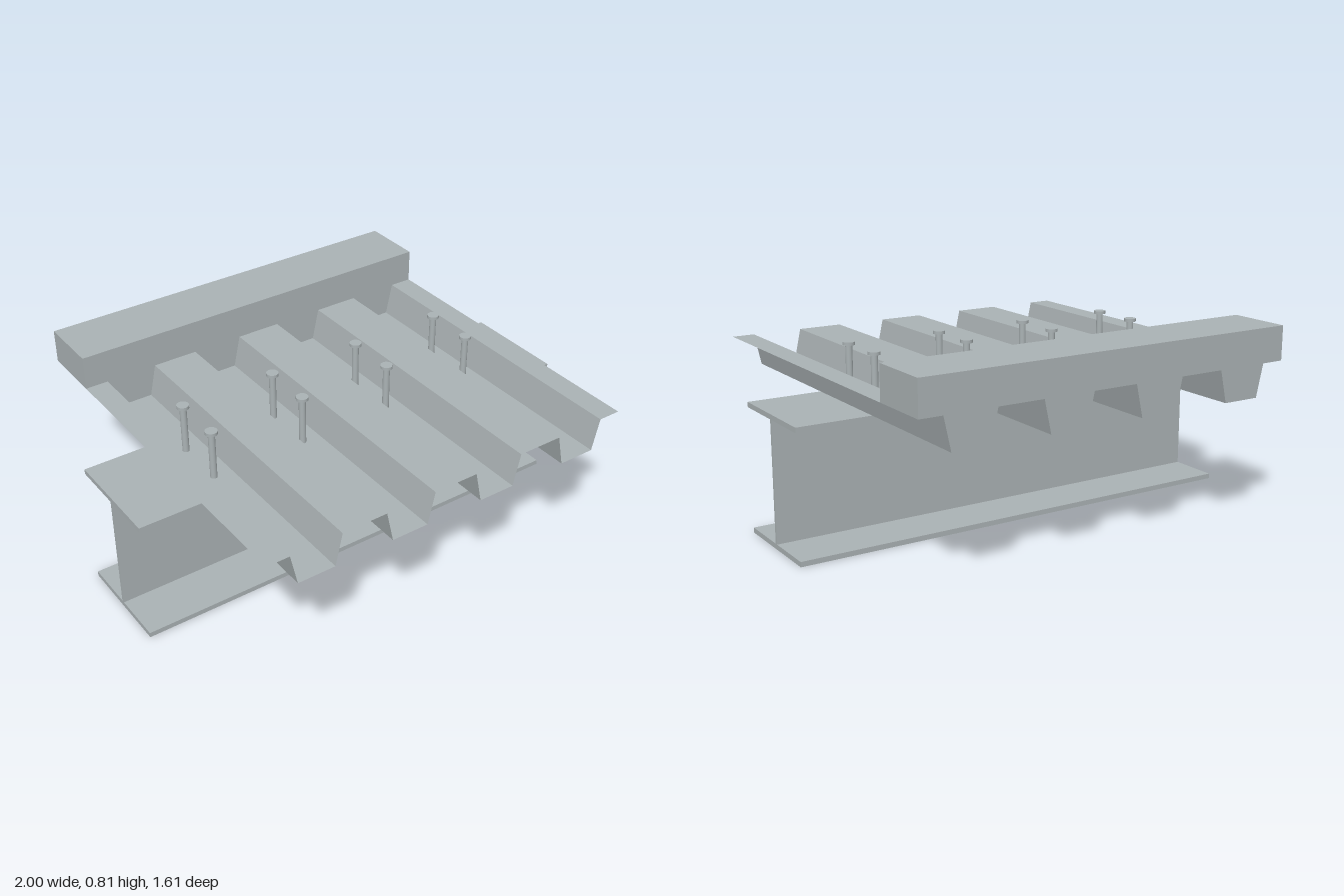
import * as THREE from 'three';

export function createModel() {
  const model = new THREE.Group();
  const steel = new THREE.MeshStandardMaterial({ color: 0xaab2b4 });
  steel.name = 'pale grey';
  steel.side = THREE.DoubleSide;

  const add = (name, geometry, x, y, z, parent = model) => {
    const mesh = new THREE.Mesh(geometry, steel);
    mesh.name = name;
    mesh.position.set(x, y, z);
    parent.add(mesh);
    return mesh;
  };

  const BEAM_TOP = 0.537, DECK_LOW = 0.54, DECK_HIGH = 0.674, SLAB_TOP = 0.815;
  const HALF_WIDTH = 0.82, FRONT = 0.805, BACK = -0.805, SLAB_FRONT = -0.54;
  const ribs = [-0.615, -0.205, 0.205, 0.615];

  // I-beam: two flanges and a thin web
  const beam = new THREE.Group();
  beam.name = 'beam';
  model.add(beam);
  const flange = new THREE.BoxGeometry(2, 0.021, 0.444);
  add('bottomFlange', flange, 0, 0.0105, 0, beam);
  add('topFlange', flange, 0, BEAM_TOP - 0.0105, 0, beam);
  add('web', new THREE.BoxGeometry(2, BEAM_TOP - 0.042, 0.013), 0, BEAM_TOP / 2, 0, beam);

  // Trapezoidal profile shared by the deck and the slab underside
  const profile = [[-HALF_WIDTH, DECK_HIGH]];
  for (const x of ribs) {
    profile.push([x - 0.109, DECK_HIGH], [x - 0.079, DECK_LOW],
      [x + 0.079, DECK_LOW], [x + 0.109, DECK_HIGH]);
  }
  profile.push([HALF_WIDTH, DECK_HIGH]);

  // Folded sheet deck, one flat strip per profile segment
  const positions = [];
  for (let i = 0; i < profile.length - 1; i++) {
    const [x0, y0] = profile[i], [x1, y1] = profile[i + 1];
    positions.push(
      x0, y0, FRONT, x1, y1, FRONT, x1, y1, BACK,
      x0, y0, FRONT, x1, y1, BACK, x0, y0, BACK);
  }
  const deck = new THREE.BufferGeometry();
  deck.setAttribute('position', new THREE.Float32BufferAttribute(positions, 3));
  deck.computeVertexNormals();
  add('deckSheet', deck, 0, 0, 0);

  // Concrete slab strip filling the ribs at the back
  const outline = [...profile, [HALF_WIDTH, SLAB_TOP], [-HALF_WIDTH, SLAB_TOP]];
  const slabShape = new THREE.Shape(outline.map(([x, y]) => new THREE.Vector2(x, y)));
  add('slab', new THREE.ExtrudeGeometry(slabShape,
    { depth: SLAB_FRONT - BACK, bevelEnabled: false }), 0, 0, BACK);

  // Headed shear studs, a pair in every rib
  const shaft = new THREE.CylinderGeometry(0.014, 0.014, 0.2, 20);
  const head = new THREE.CylinderGeometry(0.025, 0.025, 0.013, 20);
  for (const x of ribs) {
    for (const z of [-0.107, 0.107]) {
      const stud = new THREE.Group();
      stud.name = 'shearStud';
      stud.position.set(x, DECK_LOW, z);
      model.add(stud);
      add('studShaft', shaft, 0, 0.1, 0, stud);
      add('studHead', head, 0, 0.2065, 0, stud);
    }
  }
  return model;
}
